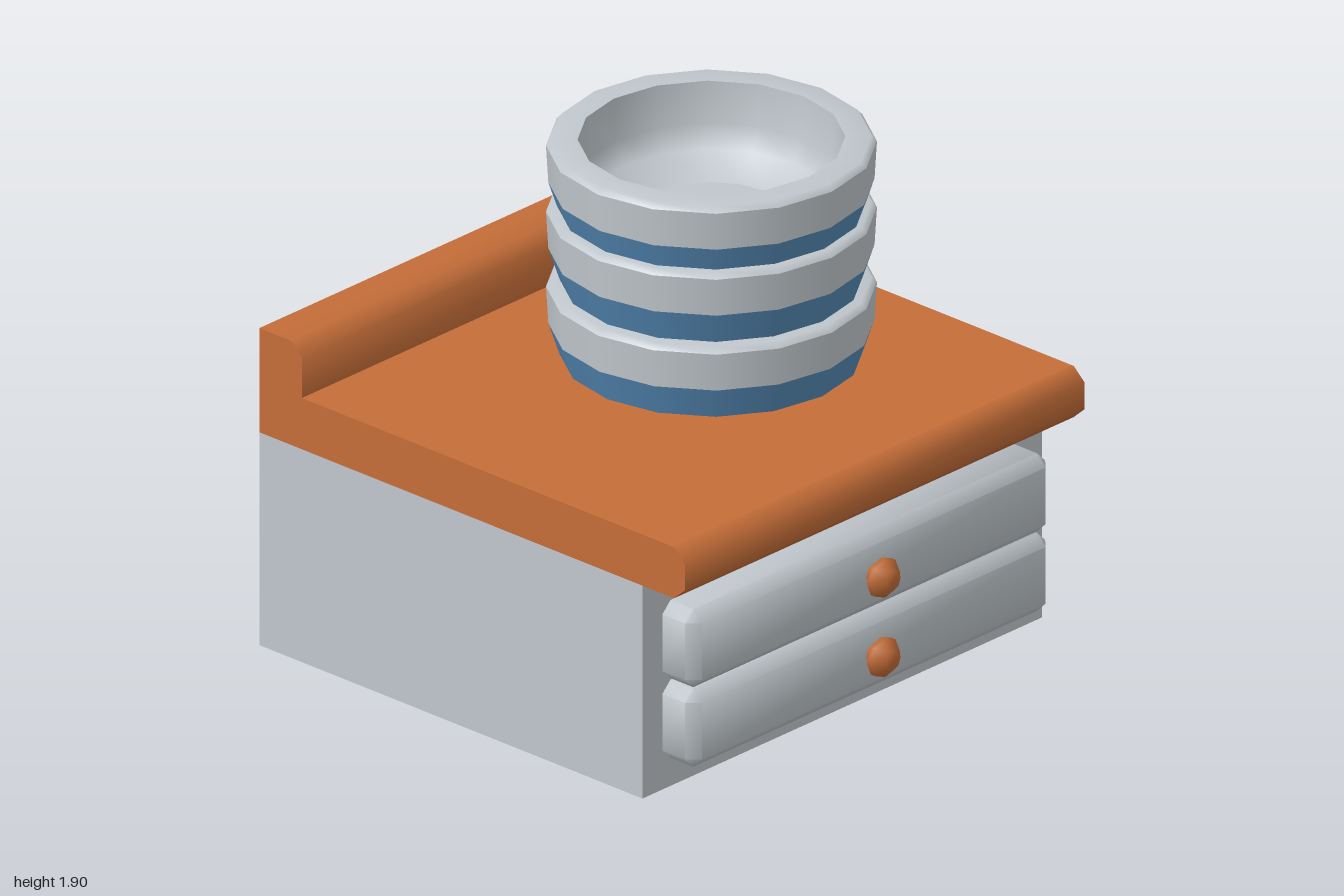
import * as THREE from 'three';
import { toCreasedNormals } from 'three/addons/utils/BufferGeometryUtils.js';
import { ConvexGeometry } from 'three/addons/geometries/ConvexGeometry.js';

const material = (name, color) => {
  const m = new THREE.MeshStandardMaterial({ color });
  m.name = name;
  return m;
};

function part(parent, name, geometry, mat) {
  const mesh = new THREE.Mesh(geometry, mat);
  mesh.name = name;
  parent.add(mesh);
  return mesh;
}

const lathe = (points, sides) =>
  new THREE.LatheGeometry(points.map(([r, y]) => new THREE.Vector2(r, y)), sides);

// Box with every edge cut at 45 degrees, softly shaded
function chamferedBox(w, h, d, c) {
  const points = [];
  for (const sx of [-1, 1]) for (const sy of [-1, 1]) for (const sz of [-1, 1]) {
    for (let axis = 0; axis < 3; axis++) {
      const half = [w / 2, h / 2, d / 2].map((v, i) => (i === axis ? v : v - c));
      points.push(new THREE.Vector3(sx * half[0], sy * half[1], sz * half[2]));
    }
  }
  return toCreasedNormals(new ConvexGeometry(points), 1);
}

export function createModel() {
  const model = new THREE.Group();
  model.name = 'cabinetWithBowls';
  const grey = material('pale grey', 0xc0c7cc);
  const wood = material('orange wood', 0xc46d38);
  const blue = material('blue glaze', 0x568bb8);

  // Cabinet body
  part(model, 'cabinetBody', new THREE.BoxGeometry(1.96, 0.79, 1.765), grey)
    .position.set(0, 0.395, -0.1175);

  // Worktop with chamfered front lip and raised back ledge (profile in z, y)
  const profile = [
    [-1, 0.79], [0.9, 0.79], [0.91, 0.79], [0.96, 0.835], [0.96, 0.935], [0.91, 0.98],
    [0.9, 0.98], [-0.805, 0.98], [-0.805, 1.13], [-0.855, 1.177], [-1, 1.177],
  ].map(([z, y]) => new THREE.Vector2(z, y));
  const top = new THREE.ExtrudeGeometry(new THREE.Shape(profile), { depth: 1.96, bevelEnabled: false });
  top.rotateY(-Math.PI / 2).translate(0.98, 0, 0);
  part(model, 'worktop', toCreasedNormals(top, 1), wood);

  // Two drawers with faceted knobs
  const drawerGeometry = chamferedBox(1.765, 0.29, 0.21, 0.04);
  const knobGeometry = lathe(
    [[0.035, -0.01], [0.04, 0.01], [0.072, 0.034], [0.072, 0.052], [0.035, 0.09], [0, 0.09]], 8,
  ).rotateX(Math.PI / 2);
  [0.25, 0.545].forEach((y) => {
    const drawer = new THREE.Group();
    drawer.name = 'drawer';
    part(drawer, 'drawerFront', drawerGeometry, grey).position.z = -0.105;
    part(drawer, 'drawerKnob', knobGeometry, wood);
    drawer.position.set(0, y, 0.91);
    model.add(drawer);
  });

  // Stack of striped bowls; each section has its own smooth shading
  const sections = [
    ['bowlBase', grey, [[0, 0], [0.325, 0]]],
    ['bowlUnderside', grey, [[0.325, 0], [0.51, 0.078]]],
    ['bowlStripe', blue, [[0.51, 0.078], [0.548, 0.193]]],
    ['bowlWall', grey, [[0.548, 0.193], [0.556, 0.33]]],
    ['bowlRim', grey, [[0.556, 0.33], [0.538, 0.351], [0.45, 0.351]]],
    ['bowlInside', grey, [[0.45, 0.351], [0.44, 0.2], [0.4, 0.12], [0.265, 0.062]]],
    ['bowlFloor', grey, [[0.265, 0.062], [0, 0.062]]],
  ].map(([name, mat, points]) => [name, lathe(points, 16), mat]);
  [1.024, 1.302, 1.547].forEach((y) => {
    const bowl = new THREE.Group();
    bowl.name = 'bowl';
    sections.forEach(([name, geometry, mat]) => part(bowl, name, geometry, mat));
    bowl.position.set(0.037, y, 0.127);
    model.add(bowl);
  });

  return model;
}
